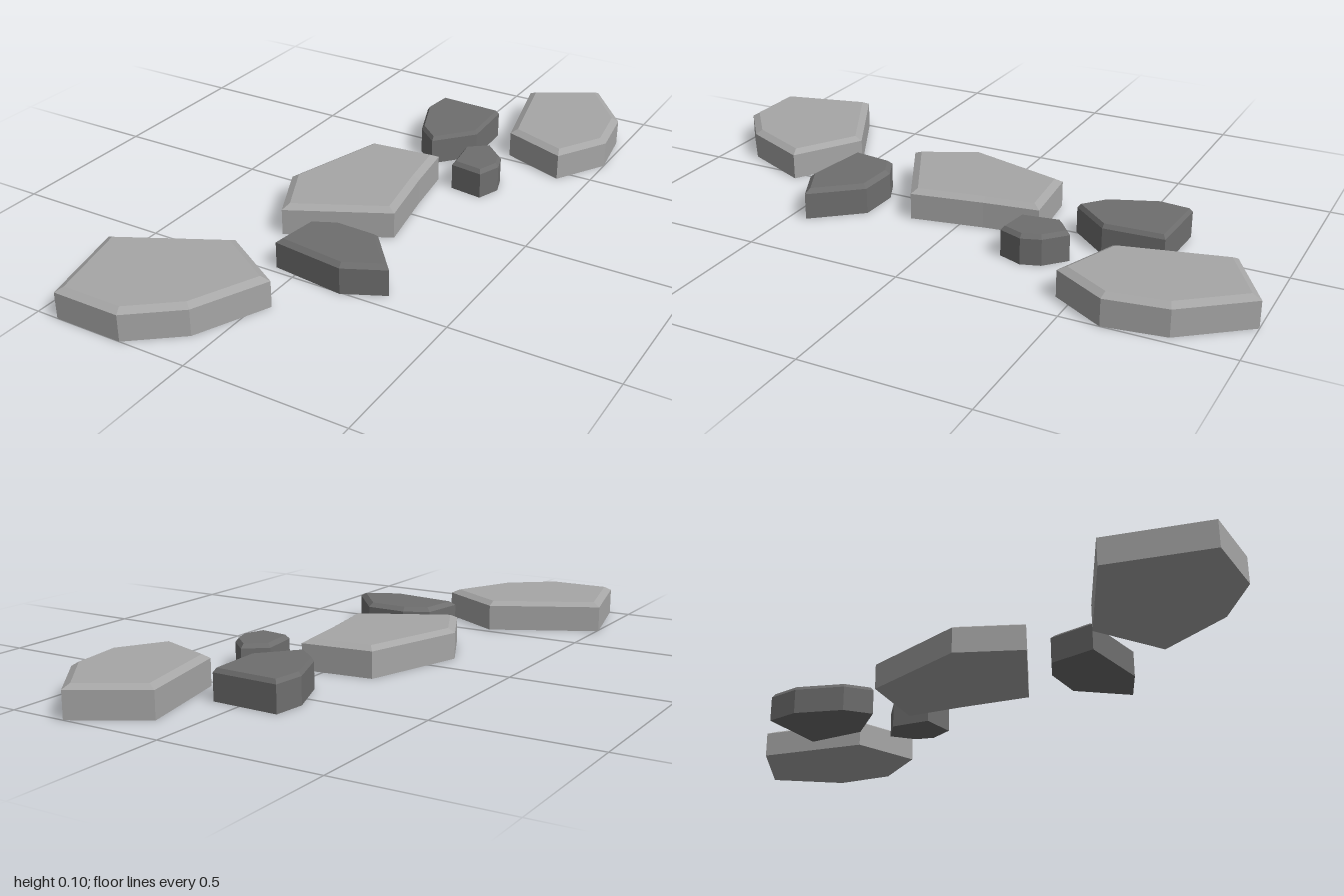
import * as THREE from 'three';

const SHOULDER = 0.083, TOP = 0.096;

// Move every corner of a clockwise [x, z] outline inwards by a set distance
function inset(outline, d) {
  const n = outline.length;
  const normal = (a, b) => new THREE.Vector2(a[1] - b[1], b[0] - a[0]).normalize();
  return outline.map((p, i) => {
    const n1 = normal(outline[(i + n - 1) % n], p);
    const n2 = normal(p, outline[(i + 1) % n]);
    const k = d / (1 + n1.dot(n2));
    return [p[0] + (n1.x + n2.x) * k, p[1] + (n1.y + n2.y) * k];
  });
}

// Straight-sided slab with a chamfered top rim, built from three rings
function slabGeometry(outline, bevel) {
  const ring = (pts, y) => pts.map(([x, z]) => [x, y, z]);
  const rings = [ring(outline, 0), ring(outline, SHOULDER), ring(inset(outline, bevel), TOP)];
  const n = outline.length, v = [];
  const tri = (a, b, c) => v.push(...a, ...b, ...c);
  for (let r = 0; r < 2; r++) {
    for (let i = 0; i < n; i++) {
      const j = (i + 1) % n, lo = rings[r], hi = rings[r + 1];
      tri(lo[j], lo[i], hi[i]);
      tri(lo[j], hi[i], hi[j]);
    }
  }
  for (let i = 1; i < n - 1; i++) {
    tri(rings[2][0], rings[2][i + 1], rings[2][i]); // top face
    tri(rings[0][0], rings[0][i], rings[0][i + 1]); // underside
  }
  const g = new THREE.BufferGeometry();
  g.setAttribute('position', new THREE.Float32BufferAttribute(v, 3));
  g.computeVertexNormals();
  return g;
}

export function createModel() {
  const light = new THREE.MeshStandardMaterial({ color: 0xa6a6a6 });
  light.name = 'light stone';
  const dark = new THREE.MeshStandardMaterial({ color: 0x6e6e6e });
  dark.name = 'dark stone';

  // Outlines run clockwise seen from above, as [x, z]
  const stones = [
    ['backSlab', light, 0.022, [[0.11, -0.875], [0.32, -1], [0.472, -0.805], [0.5, -0.62], [0.402, -0.452], [0.193, -0.533]]],
    ['middleSlab', light, 0.022, [[-0.163, -0.227], [0.07, -0.25], [0.095, -0.075], [0.137, 0.155], [-0.165, 0.308], [-0.26, 0.11]]],
    ['frontSlab', light, 0.022, [[-0.505, 0.695], [-0.177, 0.525], [0.038, 0.657], [-0.065, 0.882], [-0.212, 1], [-0.43, 1]]],
    ['backPebble', dark, 0.008, [[-0.13, -0.665], [0.09, -0.655], [0.1, -0.465], [-0.005, -0.343], [-0.08, -0.408], [-0.14, -0.56]]],
    ['smallPebble', dark, 0.01, [[0.185, -0.4], [0.25, -0.34], [0.27, -0.28], [0.243, -0.205], [0.135, -0.22], [0.117, -0.345]]],
    ['frontPebble', dark, 0.015, [[-0.05, 0.33], [0.03, 0.292], [0.165, 0.297], [0.288, 0.445], [0.163, 0.506], [-0.07, 0.477]]],
  ];

  const path = new THREE.Group();
  path.name = 'steppingStonePath';
  for (const [name, material, bevel, outline] of stones) {
    const mesh = new THREE.Mesh(slabGeometry(outline, bevel), material);
    mesh.name = name;
    path.add(mesh);
  }
  return path;
}
